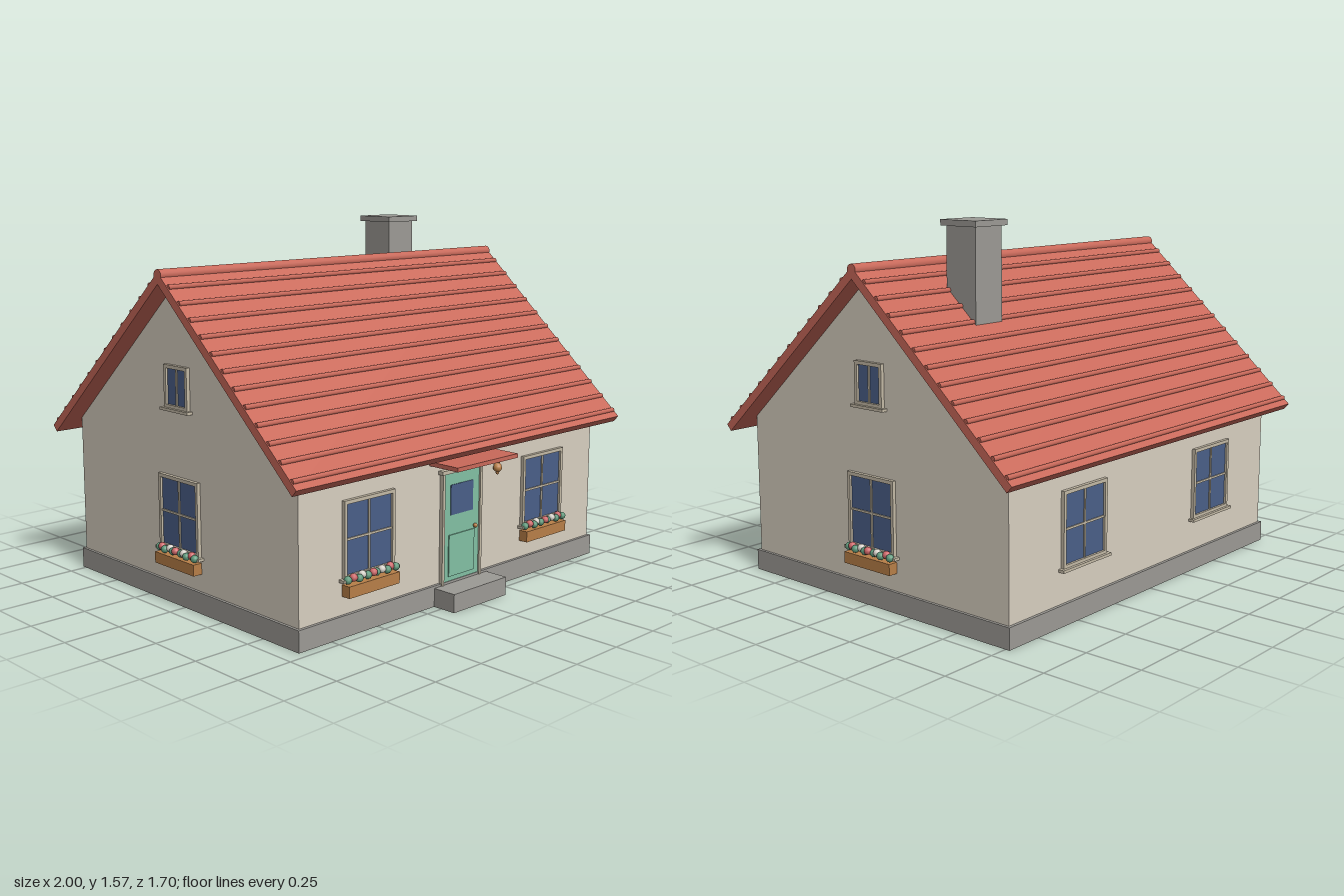
import * as THREE from 'three';

const mat = (name, color) => {
  const m = new THREE.MeshStandardMaterial({ color });
  m.name = name;
  return m;
};

export function createModel() {
  const roofRed = mat('roof red', 0xc9695a);
  const plaster = mat('plaster', 0xd8cfc0);
  const stone = mat('stone', 0x9c9a95);
  const trim = mat('trim', 0xc4baa6);
  const glass = mat('glass', 0x4a5f88);
  const doorGreen = mat('door green', 0x82c0a4);
  const wood = mat('wood', 0xb87f48);
  const leaf = mat('leaf green', 0x5f9a7c);
  const pink = mat('flower pink', 0xd0686a);
  const white = mat('flower white', 0xd9d4cc);

  const CZ = -0.03; // ridge line in z
  const WX = 0.91, WZ = 0.727; // half sizes of the walls
  const APEX = 1.35, SLOPE = 0.9;
  const FRONT = CZ + WZ, BACK = CZ - WZ;

  const house = new THREE.Group();
  house.name = 'cottage';

  const add = (parent, name, geo, material, x = 0, y = 0, z = 0) => {
    const m = new THREE.Mesh(geo, material);
    m.name = name;
    m.position.set(x, y, z);
    parent.add(m);
    return m;
  };
  const box = (parent, name, material, w, h, d, x, y, z) =>
    add(parent, name, new THREE.BoxGeometry(w, h, d), material, x, y, z);

  // Cross-section (z, y) swept along x and centred
  const sweep = (points, length) => {
    const shape = new THREE.Shape(points.map(([a, b]) => new THREE.Vector2(a, b)));
    const g = new THREE.ExtrudeGeometry(shape, { depth: length, bevelEnabled: false });
    g.translate(0, 0, -length / 2);
    return g.rotateY(Math.PI / 2);
  };

  // Rectangular ring standing on the wall plane
  const ring = (w, h, t, depth) => {
    const rect = (path, a, b) =>
      path.moveTo(-a, -b).lineTo(a, -b).lineTo(a, b).lineTo(-a, b).closePath();
    const s = rect(new THREE.Shape(), w / 2, h / 2);
    s.holes.push(rect(new THREE.Path(), w / 2 - t, h / 2 - t));
    return new THREE.ExtrudeGeometry(s, { depth, bevelEnabled: false });
  };

  // Plinth, walls with gables, doorstep
  box(house, 'plinth', stone, 1.844, 0.09, 1.48, 0, 0.045, CZ);
  const eaveY = APEX - SLOPE * WZ;
  add(house, 'walls', sweep([[-WZ, 0.08], [WZ, 0.08], [WZ, eaveY], [0, APEX], [-WZ, eaveY]], WX * 2),
    plaster, 0, 0, CZ);
  box(house, 'doorstep', stone, 0.332, 0.08, 0.13, 0, 0.04, 0.755);

  // Roof slab
  const roof = new THREE.Group();
  roof.name = 'roof';
  roof.position.z = CZ;
  house.add(roof);
  const inner = 0.795, thick = 0.036;
  const len = Math.hypot(1, SLOPE), nz = SLOPE / len, ny = 1 / len;
  const innerY = APEX - SLOPE * inner;
  const outer = inner + nz * thick, outerY = innerY + ny * thick;
  const outerApex = APEX + thick * len;
  add(roof, 'roofSlab', sweep([[-inner, innerY], [0, APEX], [inner, innerY],
    [outer, outerY], [0, outerApex], [-outer, outerY]], 2), roofRed);

  // Tile course edges on both slopes
  const course = new THREE.CylinderGeometry(0.011, 0.011, 1.99, 8).rotateZ(Math.PI / 2);
  for (const side of [-1, 1]) {
    for (let i = 0; i < 12; i++) {
      const d = outer - 0.03 - i * 0.066;
      add(roof, 'tileCourse', course, roofRed, 0, outerApex - SLOPE * d, side * d);
    }
  }
  add(roof, 'ridgeCap', new THREE.CylinderGeometry(0.024, 0.024, 2, 16).rotateZ(Math.PI / 2),
    roofRed, 0, 1.386, 0);

  // Chimney
  box(house, 'chimney', stone, 0.158, 0.5, 0.158, 0.508, 1.295, -0.226);
  box(house, 'chimneyCap', stone, 0.192, 0.025, 0.192, 0.508, 1.555, -0.226);

  // Window facing +z, turned onto its wall by angle
  const flowerGeo = new THREE.IcosahedronGeometry(0.017, 1);
  const flowerMats = [leaf, pink, leaf, white];
  const addWindow = (name, x, y, z, angle, { w = 0.28, h = 0.315, crossbar = true, flowers = false }) => {
    const g = new THREE.Group();
    g.name = name;
    g.position.set(x, y, z);
    g.rotation.y = angle;
    house.add(g);
    add(g, 'windowFrame', ring(w, h, 0.015, 0.016), trim);
    box(g, 'windowPane', glass, w - 0.02, h - 0.02, 0.008, 0, 0, 0.002);
    box(g, 'mullion', trim, 0.009, h - 0.02, 0.012, 0, 0, 0.005);
    if (crossbar) box(g, 'crossbar', trim, w - 0.02, 0.009, 0.011, 0, 0, 0.005);
    box(g, 'windowSill', trim, w + 0.03, 0.012, 0.028, 0, -h / 2 - 0.004, 0.014);
    if (!flowers) return;
    box(g, 'flowerBox', wood, w, 0.048, 0.042, 0, -0.203, 0.021);
    for (let i = 0; i < 11; i++) {
      const fx = (i / 10 - 0.5) * (w - 0.02);
      add(g, 'flower', flowerGeo, flowerMats[i % 4], fx, -0.158 + (i % 2) * 0.007, 0.023 + (i % 3) * 0.005);
    }
  };

  for (const s of [-1, 1]) {
    addWindow('frontWindow', s * 0.545, 0.3925, FRONT, 0, { flowers: true });
    addWindow('backWindow', s * 0.46, 0.3925, BACK, Math.PI, {});
    addWindow('sideWindow', s * WX, 0.3925, CZ, s * Math.PI / 2, { w: 0.265, flowers: true });
    addWindow('gableWindow', s * WX, 0.925, CZ, s * Math.PI / 2, { w: 0.155, h: 0.18, crossbar: false });
  }

  // Front door with frame, pane, lower panel and knob
  const door = new THREE.Group();
  door.name = 'frontDoor';
  door.position.z = FRONT;
  house.add(door);
  box(door, 'doorLeaf', doorGreen, 0.225, 0.48, 0.016, 0, 0.32, 0.002);
  for (const s of [-1, 1]) box(door, 'doorJamb', trim, 0.014, 0.48, 0.018, s * 0.118, 0.32, 0.009);
  box(door, 'doorLintel', trim, 0.27, 0.016, 0.024, 0, 0.566, 0.012);
  box(door, 'doorPane', glass, 0.14, 0.13, 0.006, 0, 0.44, 0.01);
  box(door, 'doorPanel', doorGreen, 0.16, 0.18, 0.008, 0, 0.2, 0.011);
  add(door, 'doorKnob', new THREE.SphereGeometry(0.01, 12, 8), wood, 0.08, 0.305, 0.02);

  // Canopy over the door
  box(house, 'doorCanopy', roofRed, 0.38, 0.018, 0.16, 0, 0.613, 0.77);

  // Wall lamp
  const lamp = new THREE.Group();
  lamp.name = 'wallLamp';
  lamp.position.set(0.212, 0.535, FRONT);
  house.add(lamp);
  box(lamp, 'lampBracket', wood, 0.012, 0.012, 0.034, 0, 0.026, 0.016);
  add(lamp, 'lampCap', new THREE.ConeGeometry(0.018, 0.018, 12), wood, 0, 0.021, 0.026);
  add(lamp, 'lampGlobe', new THREE.SphereGeometry(0.019, 16, 12), wood, 0, 0, 0.026);
  add(lamp, 'lampTip', new THREE.SphereGeometry(0.008, 10, 8), wood, 0, -0.021, 0.026);

  return house;
}
